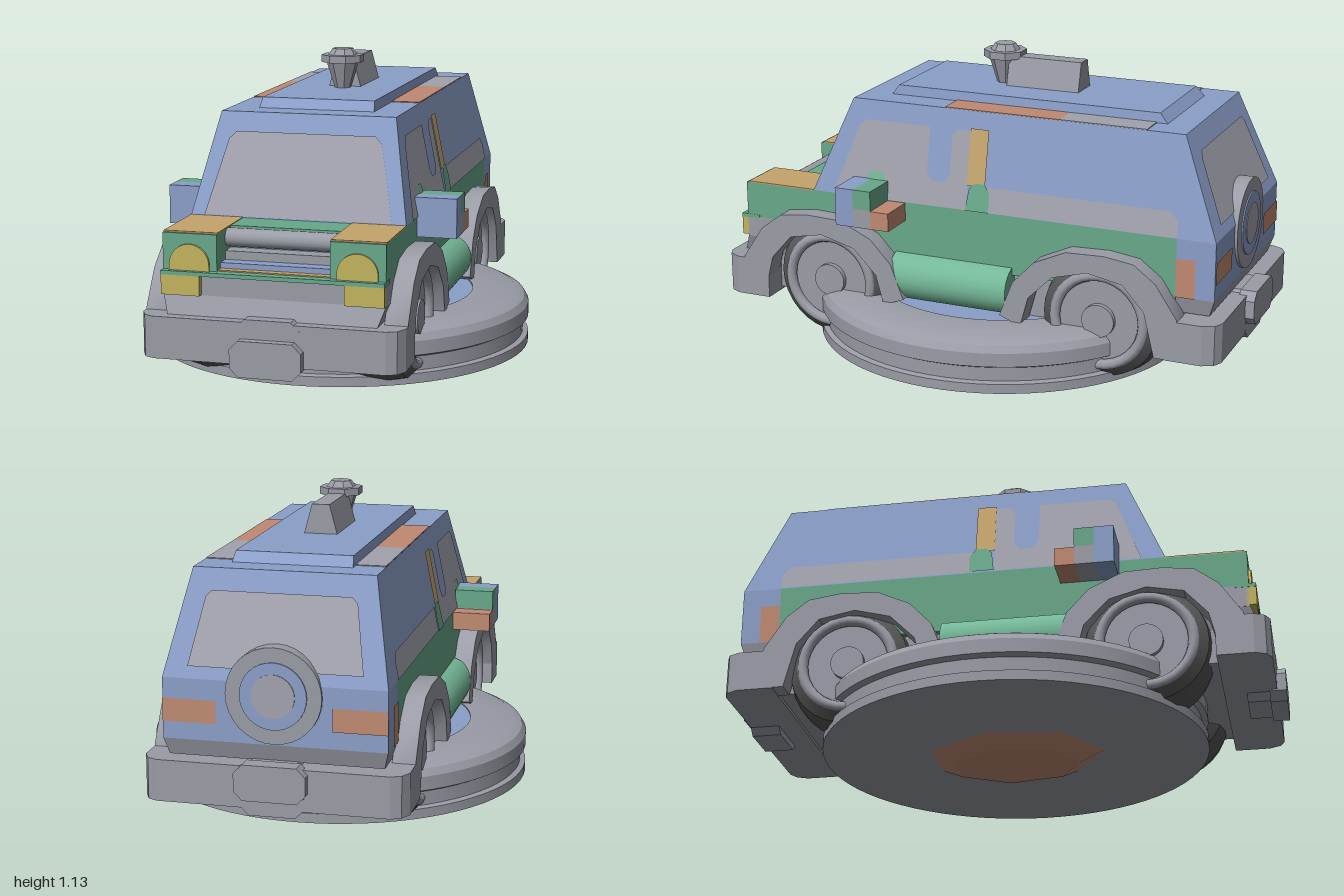
import * as THREE from 'three';
import { toCreasedNormals } from 'three/addons/utils/BufferGeometryUtils.js';

const colours = {
  blue: 0x8a9ec8, green: 0x68a88a, mint: 0x74b898, grey: 0x9a9ca6, glass: 0xa2a2ae,
  yellow: 0xc2b35e, tan: 0xc4a46c, terracotta: 0xc08a72, rubber: 0x58585a,
};

export function createModel() {
  const root = new THREE.Group();
  const M = {};
  for (const [name, color] of Object.entries(colours)) {
    M[name] = new THREE.MeshStandardMaterial({ color });
    M[name].name = name;
  }

  const add = (name, geo, mat, x = 0, y = 0, z = 0) => {
    const m = new THREE.Mesh(geo, M[mat]);
    m.name = name;
    m.position.set(x, y, z);
    root.add(m);
    return m;
  };
  // Box given by its limits
  const box = (name, mat, x0, x1, y0, y1, z0, z1) =>
    add(name, new THREE.BoxGeometry(x1 - x0, y1 - y0, z1 - z0), mat, (x0 + x1) / 2, (y0 + y1) / 2, (z0 + z1) / 2);
  // Tapered block: half width, back z and front z at the bottom and at the top
  const taper = (name, mat, y0, [w0, b0, f0], y1, [w1, b1, f1]) => {
    const g = new THREE.BoxGeometry(2, 2, 2);
    const p = g.attributes.position;
    for (let i = 0; i < p.count; i++) {
      const top = p.getY(i) > 0, front = p.getZ(i) > 0;
      p.setXYZ(i, p.getX(i) * (top ? w1 : w0), top ? y1 : y0, top ? (front ? f1 : b1) : (front ? f0 : b0));
    }
    g.computeVertexNormals();
    return add(name, g, mat);
  };
  const shape = (pts) => new THREE.Shape(pts.map(([x, y]) => new THREE.Vector2(x, y)));
  // Painted face: a flat outline laid on the body by a mapping
  const panel = (name, mat, pts, map) => {
    const g = new THREE.ShapeGeometry(shape(pts));
    const p = g.attributes.position;
    for (let i = 0; i < p.count; i++) p.setXYZ(i, ...map(p.getX(i), p.getY(i)));
    g.computeVertexNormals();
    add(name, g, mat);
  };
  const wallX = (y) => 0.385 - 0.2 * Math.max(0, y - 0.6);
  // Outline in z and y on both side walls
  const sidePanel = (name, mat, pts, off = 0.004) => {
    for (const s of [1, -1]) {
      panel(name, mat, pts.map(([z, y]) => [-s * z, y]), (u, y) => [s * (wallX(y) + off), y, -s * u]);
    }
  };
  const rect = (a, b, c, d) => [[a, c], [b, c], [b, d], [a, d]];

  // Body and cabin
  taper('cabin', 'blue', 0.6, [0.385, -0.93, 0.615], 0.95, [0.315, -0.79, 0.475]);
  box('lowerBody', 'green', -0.385, 0.385, 0.38, 0.6, -0.79, 0.615);
  box('tail', 'blue', -0.385, 0.385, 0.39, 0.6, -0.93, -0.79);
  taper('tailUnderside', 'grey', 0.33, [0.37, -0.91, -0.79], 0.39, [0.385, -0.93, -0.79]);
  box('chassis', 'grey', -0.36, 0.36, 0.19, 0.38, -0.82, 0.82);

  // Side windows and painted side details
  sidePanel('sideWindow', 'glass', [[0.53, 0.602], [0.44, 0.86], [0.41, 0.88], [0.16, 0.88], [0.16, 0.72],
    [0.14, 0.69], [0.09, 0.69], [0.07, 0.72], [0.07, 0.86], [0.05, 0.88], [0, 0.88], [0, 0.602]]);
  sidePanel('rearSideWindow', 'glass', [[-0.08, 0.602], [-0.08, 0.69], [-0.76, 0.69], [-0.79, 0.66], [-0.79, 0.602]]);
  sidePanel('pillarStripe', 'tan', rect(-0.07, 0, 0.69, 0.89), 0.006);
  sidePanel('pillarFoot', 'green', [[0, 0.602], [-0.01, 0.68], [-0.03, 0.7], [-0.07, 0.7], [-0.09, 0.67], [-0.09, 0.602]], 0.008);
  sidePanel('windowCorner', 'mint', [[0.4, 0.602], [0.4, 0.67], [0.38, 0.7], [0.34, 0.7], [0.32, 0.67], [0.32, 0.602]], 0.006);
  sidePanel('tailLightSide', 'terracotta', rect(-0.86, -0.79, 0.39, 0.53));

  // Windscreen, rear window and rear lights
  panel('windscreen', 'glass', [[-0.335, 0.605], [0.335, 0.605], [0.275, 0.86], [0.25, 0.885], [-0.25, 0.885], [-0.275, 0.86]],
    (x, y) => [x, y, 0.62 - 0.4 * (y - 0.6)]);
  panel('rearWindow', 'glass', [[-0.3, 0.64], [0.3, 0.64], [0.26, 0.86], [0.24, 0.88], [-0.24, 0.88], [-0.26, 0.86]],
    (u, y) => [-u, y, -0.935 + 0.4 * (y - 0.6)]);
  for (const s of [1, -1]) {
    panel('rearLight', 'terracotta', rect(s * 0.2, s * 0.385, 0.45, 0.53), (u, y) => [-u, y, -0.934]);
  }

  // Roof panel and roof strips
  taper('roofPanel', 'blue', 0.95, [0.21, -0.69, 0.37], 0.985, [0.205, -0.66, 0.345]);
  for (const s of [1, -1]) {
    const [a, b] = s > 0 ? [0.21, 0.314] : [-0.314, -0.21];
    box('roofStripFront', 'terracotta', a, b, 0.948, 0.953, -0.33, 0.11);
    box('roofStripRear', 'glass', a, b, 0.948, 0.953, -0.65, -0.33);
  }

  // Roof beacon
  taper('beaconHousing', 'grey', 0.985, [0.06, -0.3, -0.02], 1.09, [0.032, -0.3, -0.02]);
  for (const [name, rt, rb, y0, y1] of [['beaconStem', 0.06, 0.03, 0.985, 1.08],
    ['beaconFlange', 0.079, 0.079, 1.08, 1.107], ['beaconCap', 0.038, 0.054, 1.107, 1.13]]) {
    const g = new THREE.CylinderGeometry(rt, rb, y1 - y0, 8).rotateY(Math.PI / 8);
    add(name, toCreasedNormals(g, 0.4), 'grey', 0, (y0 + y1) / 2, 0.01);
  }

  // Bonnet and open grille
  box('bonnetCentre', 'green', -0.195, 0.195, 0.47, 0.6, 0.61, 0.75);
  box('noseBase', 'grey', -0.385, 0.385, 0.385, 0.465, 0.61, 0.9);
  box('grilleBlock', 'grey', -0.195, 0.195, 0.465, 0.525, 0.75, 0.81);
  add('grilleBar', new THREE.CylinderGeometry(0.032, 0.032, 0.39, 20).rotateZ(Math.PI / 2), 'grey', 0, 0.567, 0.78);
  box('grilleStep', 'blue', -0.195, 0.195, 0.465, 0.495, 0.81, 0.86);
  box('grilleLedge', 'tan', -0.195, 0.195, 0.465, 0.476, 0.86, 0.89);
  box('chinStrip', 'green', -0.386, 0.386, 0.458, 0.472, 0.85, 0.925);
  for (const s of [1, -1]) {
    const span = (a, b) => (s > 0 ? [a, b] : [-b, -a]);
    box('bonnetSide', 'green', ...span(0.195, 0.385), 0.465, 0.597, 0.61, 0.9);
    box('bonnetTop', 'tan', ...span(0.195, 0.385), 0.597, 0.602, 0.61, 0.89);
    box('indicator', 'yellow', ...span(0.25, 0.385), 0.39, 0.458, 0.89, 0.925);
    const lamp = new THREE.Shape();
    lamp.moveTo(-0.07, -0.02);
    lamp.lineTo(0.07, -0.02);
    lamp.absarc(0, 0, 0.07, 0, Math.PI);
    add('headlight', new THREE.ExtrudeGeometry(lamp, { depth: 0.009, bevelEnabled: false }), 'yellow', s * 0.29, 0.492, 0.9);

    // Wing mirrors
    box('mirrorFront', 'blue', ...span(0.37, 0.525), 0.53, 0.67, 0.38, 0.45);
    box('mirrorTop', 'green', ...span(0.38, 0.525), 0.6, 0.67, 0.31, 0.38);
    box('mirrorCore', 'grey', ...span(0.38, 0.525), 0.53, 0.6, 0.31, 0.38);
    box('mirrorRear', 'terracotta', ...span(0.38, 0.525), 0.53, 0.597, 0.24, 0.31);

    // Running boards
    add('runningBoard', new THREE.CylinderGeometry(0.09, 0.09, 0.46, 24).rotateX(Math.PI / 2), 'mint', s * 0.365, 0.32, 0.05);

    // Fenders and wheels
    for (const [dir, c, wz] of [[1, 0.55, 0.54], [-1, -0.49, -0.52]]) {
      const arch = [[0.33, 0.33], [0.25, 0.45], [0.17, 0.51], [0.06, 0.525], [-0.08, 0.52], [-0.2, 0.465], [-0.28, 0.38],
        [-0.33, 0.25], [-0.25, 0.22], [-0.22, 0.33], [-0.13, 0.42], [0, 0.455], [0.13, 0.43], [0.21, 0.34], [0.25, 0.18], [0.33, 0.18]];
      const g = new THREE.ExtrudeGeometry(shape(arch.map(([w, y]) => [-(c + dir * w), y])), { depth: 0.08, bevelEnabled: false });
      add('fender', toCreasedNormals(g.rotateY(Math.PI / 2), 0.6), 'grey', s > 0 ? 0.375 : -0.455);
      const tyre = [[0.15, -0.12], [0.18, -0.12], [0.215, -0.09], [0.228, -0.03], [0.228, 0.03], [0.215, 0.09], [0.18, 0.12], [0.15, 0.12], [0.15, -0.12]];
      const tg = new THREE.LatheGeometry(tyre.map(([r, x]) => new THREE.Vector2(r, x)), 32).rotateZ(Math.PI / 2);
      add('tyre', toCreasedNormals(tg, 0.6), 'rubber', s * 0.298, 0.27, wz);
      const disc = (name, r, w, mat) => add(name, new THREE.CylinderGeometry(r, r, w, 28).rotateZ(Math.PI / 2), mat, s * 0.298, 0.27, wz);
      disc('wheelRim', 0.155, 0.21, 'grey');
      disc('wheelHub', 0.06, 0.25, 'grey');
      const ring = new THREE.TorusGeometry(0.165, 0.02, 8, 32).rotateY(Math.PI / 2);
      add('rimRing', ring, 'grey', s * 0.41, 0.27, wz);
    }
  }

  // Bumpers, with hitches
  taper('noseUnderside', 'grey', 0.315, [0.36, 0.6, 0.93], 0.388, [0.385, 0.6, 0.9]);
  for (const d of [1, -1]) {
    const plan = [[-0.455, 0.78], [-0.455, 0.91], [-0.435, 0.95], [-0.4, 0.967], [0.4, 0.967], [0.435, 0.95], [0.455, 0.91], [0.455, 0.78]];
    const g = new THREE.ExtrudeGeometry(shape(plan.map(([x, z]) => [x, -d * z])), { depth: 0.145, bevelEnabled: false });
    add('bumper', g.rotateX(-Math.PI / 2), 'grey', 0, 0.178);
    const octagon = (w, h) => shape([[-w, -h + 0.03], [-w + 0.03, -h], [w - 0.03, -h], [w, -h + 0.03], [w, h - 0.03], [w - 0.03, h], [-w + 0.03, h], [-w, h - 0.03]]);
    const hitch = (name, w, h, y, z0, z1) =>
      add(name, new THREE.ExtrudeGeometry(octagon(w, h), { depth: z1 - z0, bevelEnabled: false }), 'grey', 0, y, d > 0 ? z0 : -z1);
    hitch('hitch', 0.123, 0.062, d > 0 ? 0.205 : 0.275, 0.94, 1);
    hitch('hitchMount', 0.11, 0.09, 0.243, 0.86, 0.968);
  }

  // Spare wheel on the tail
  const spare = (name, r, mat, z0, z1) =>
    add(name, new THREE.CylinderGeometry(r, r, z1 - z0, 32).rotateX(Math.PI / 2), mat, 0, 0.56, (z0 + z1) / 2);
  spare('spareTyre', 0.165, 'grey', -0.94, -0.84);
  spare('spareRim', 0.115, 'blue', -0.945, -0.9);
  spare('spareHub', 0.075, 'glass', -0.948, -0.9);

  // Round base disc
  const ringProfile = [[0, 0.04], [0.7, 0.04], [0.7, 0.075], [0.68, 0.08], [0.68, 0.13], [0.7, 0.14], [0.7, 0.19],
    [0.685, 0.215], [0.65, 0.232], [0.49, 0.232], [0.49, 0.2], [0, 0.2]];
  const base = new THREE.LatheGeometry(ringProfile.map(([r, y]) => new THREE.Vector2(r, y)), 72);
  add('baseDisc', toCreasedNormals(base, 0.5), 'grey', 0, 0, 0.01);
  add('baseInset', new THREE.CylinderGeometry(0.49, 0.49, 0.02, 64), 'blue', 0, 0.218, 0.01);

  // Faceted foot under the disc
  const foot = new THREE.CylinderGeometry(0.27, 0.19, 0.045, 7);
  foot.scale(0.95, 1, 1.25);
  add('foot', toCreasedNormals(foot, 0.3), 'terracotta', 0, 0.0225, 0.01);

  return root;
}
